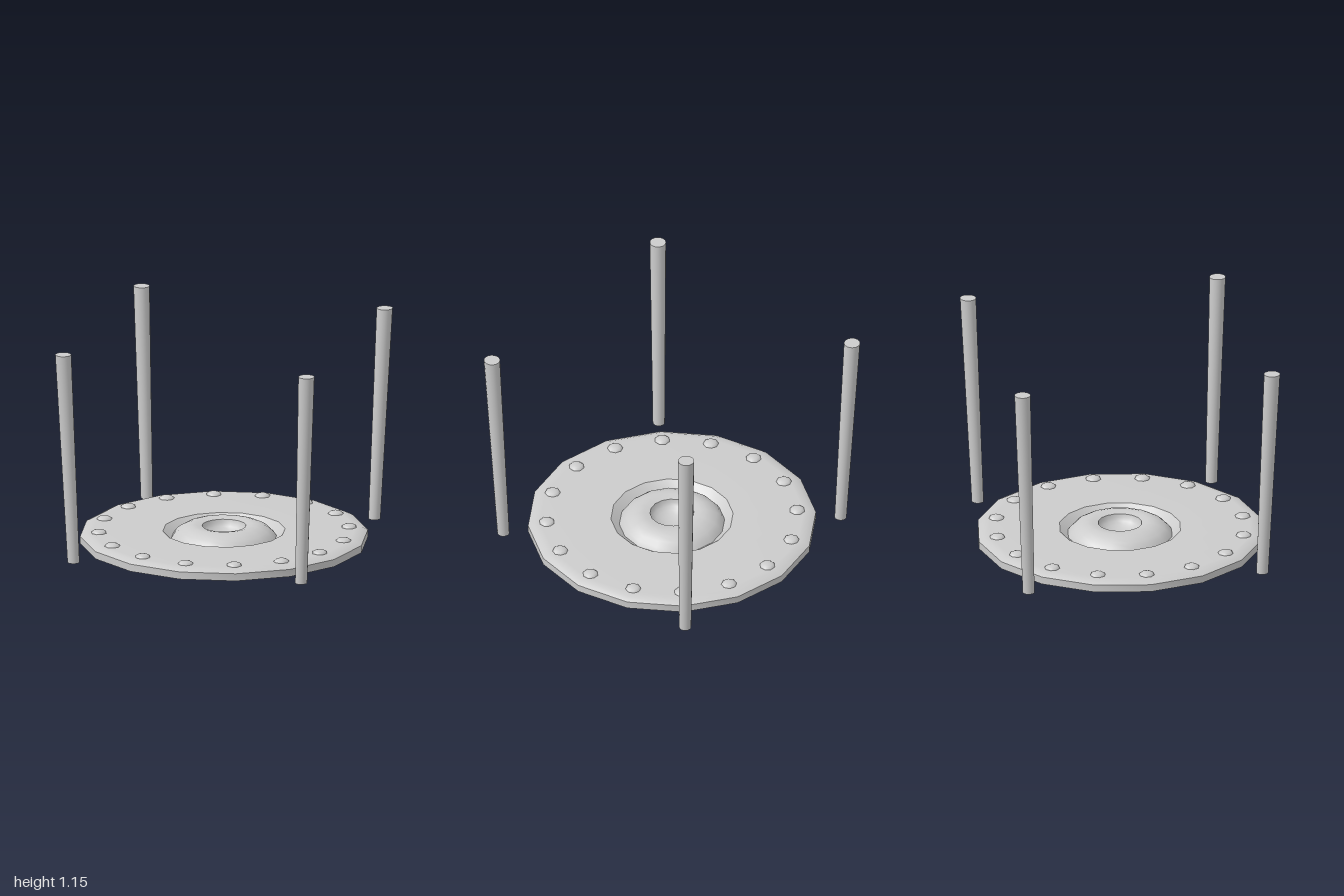
import * as THREE from 'three';
import { toCreasedNormals } from 'three/addons/utils/BufferGeometryUtils.js';

const SIDES = 16;
const material = new THREE.MeshStandardMaterial({ color: 0xcccccc });
const shellMaterial = new THREE.MeshStandardMaterial({ color: 0xcccccc, side: THREE.DoubleSide });

// Thin turned shell from a list of [radius, height] points
function turned(name, points) {
  const profile = points.map(([r, y]) => new THREE.Vector2(r, y));
  const geometry = toCreasedNormals(new THREE.LatheGeometry(profile, SIDES), 0.6);
  const mesh = new THREE.Mesh(geometry, shellMaterial);
  mesh.name = name;
  return mesh;
}

// Tapered post leaning outwards with level ends
function postGeometry() {
  const height = 1.155, bottomX = 0.896, topX = 0.957;
  const geometry = new THREE.CylinderGeometry(0.043, 0.032, height, 16);
  geometry.translate(0, height / 2, 0);
  const lean = new THREE.Matrix4().makeShear(0, 0, (topX - bottomX) / height, 0, 0, 0);
  geometry.applyMatrix4(lean);
  geometry.translate(bottomX, 0, 0);
  return geometry;
}

// Copies of one part spaced evenly around the vertical axis
function ring(name, partName, count, geometry) {
  const group = new THREE.Group();
  group.name = name;
  for (let i = 0; i < count; i++) {
    const mesh = new THREE.Mesh(geometry, material);
    mesh.name = partName;
    mesh.rotation.y = (i / count) * Math.PI * 2;
    group.add(mesh);
  }
  return group;
}

export function createModel() {
  const model = new THREE.Group();
  model.name = 'discWithPosts';

  // Plate with upright rim, soft bevel and a sloping recess in the middle
  model.add(turned('plate', [
    [0.765, 0], [0.765, 0.04], [0.735, 0.056], [0.7, 0.058], [0.325, 0.058], [0.28, 0.02],
  ]));

  // Raised rounded ring standing in the recess
  model.add(turned('centreDome', [
    [0.28, 0.02], [0.265, 0.043], [0.24, 0.064], [0.21, 0.08], [0.18, 0.089],
    [0.15, 0.089], [0.117, 0.082],
  ]));

  // Hollow bowl sunk into the dome
  const bowl = [];
  for (let i = 0; i <= 6; i++) {
    const a = (i / 6) * Math.PI / 2;
    bowl.push([0.117 * Math.cos(a), 0.082 - 0.07 * Math.sin(a)]);
  }
  model.add(turned('centreBowl', bowl));

  // Flattened rivets around the plate
  const rivet = new THREE.SphereGeometry(0.042, 8, 8);
  rivet.scale(1, 0.48, 1);
  rivet.rotateY(Math.PI / 8);
  rivet.translate(0.665, 0.056, 0);
  model.add(ring('rivets', 'rivet', SIDES, rivet));

  // Four free-standing posts
  model.add(ring('posts', 'post', 4, postGeometry()));

  return model;
}
